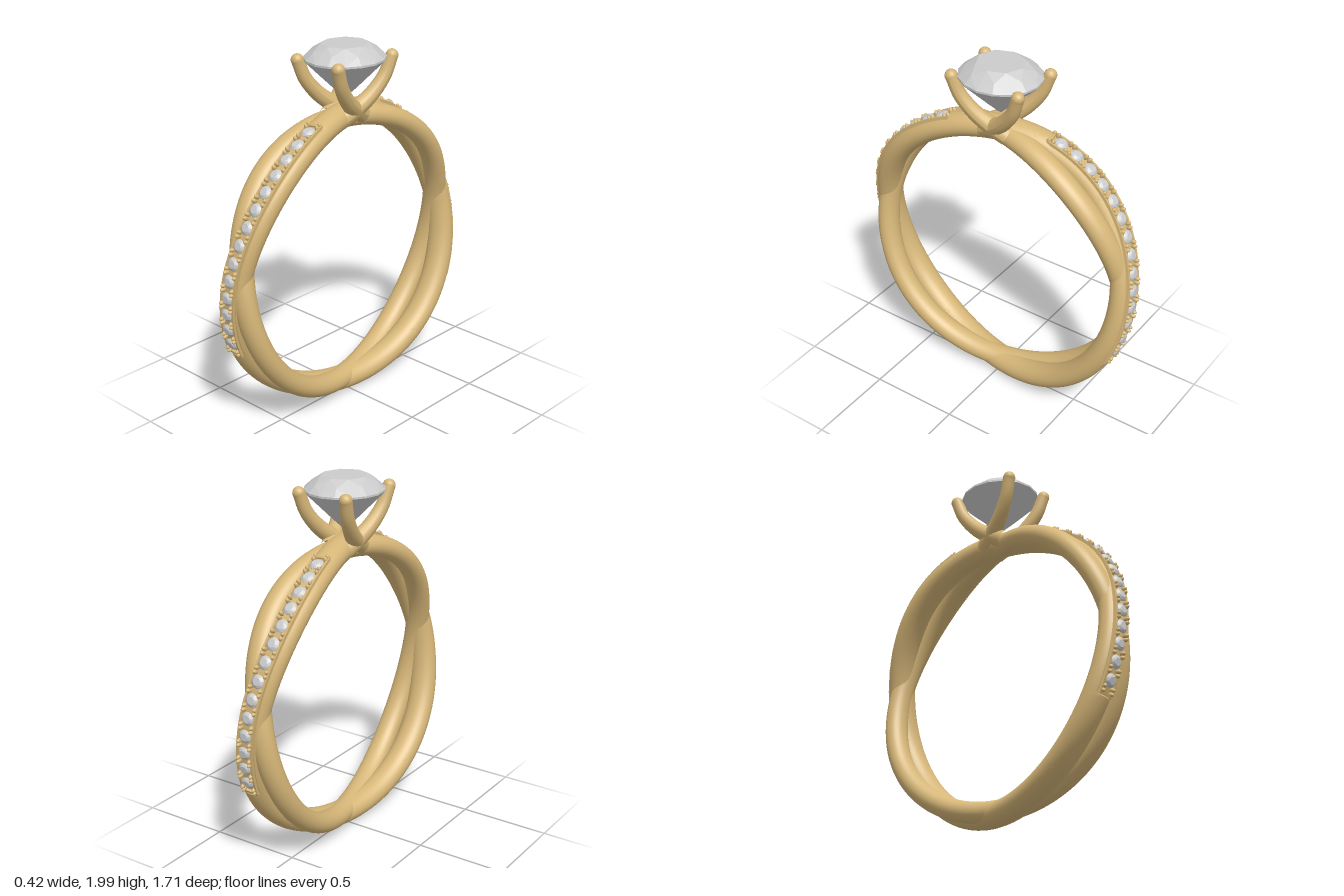
import * as THREE from 'three';
import { toCreasedNormals } from 'three/addons/utils/BufferGeometryUtils.js';
import { ConvexGeometry } from 'three/addons/geometries/ConvexGeometry.js';

const gold = new THREE.MeshStandardMaterial({ color: 0xd6b678 });
const gemMat = new THREE.MeshStandardMaterial({ color: 0xcccccc, flatShading: true });
const CENTRE_Y = 0.85;
const rad = THREE.MathUtils.degToRad;
const CH0 = rad(19.5), CH1 = rad(115.5); // angular range of the stone channel

function addMesh(parent, name, geometry, material) {
  const m = new THREE.Mesh(geometry, material);
  m.name = name;
  parent.add(m);
  return m;
}

// Sideways weave of a strand; angle 0 is the top of the ring, positive to the front
function weave(a) {
  const t = Math.abs(a), s = Math.sign(a), cross = rad(80);
  const w = t < cross
    ? 0.072 * Math.sin(t / cross * Math.PI)
    : -0.075 * Math.sin((t - cross) / (Math.PI - cross) * Math.PI);
  return s * w;
}

function strandPoint(a, R, mirror) {
  return new THREE.Vector3(mirror * weave(a), CENTRE_Y + R * Math.cos(a), R * Math.sin(a));
}

// Position with tangent, sideways and outward directions along a strand
function frame(a, R, mirror) {
  const p = strandPoint(a, R, mirror);
  const T = strandPoint(a + 0.004, R, mirror).sub(strandPoint(a - 0.004, R, mirror)).normalize();
  const N = new THREE.Vector3(0, Math.cos(a), Math.sin(a));
  N.addScaledVector(T, -N.dot(T)).normalize();
  return { p, T, N, S: new THREE.Vector3().crossVectors(T, N) };
}

// Sweep a closed section of [side, out] pairs along a strand
function sweep(R, mirror, section, a0, a1, n, closed) {
  const pos = [], idx = [], m = section(a0).length, rings = closed ? n : n + 1;
  for (let i = 0; i < rings; i++) {
    const a = a0 + (a1 - a0) * i / n, f = frame(a, R, mirror);
    for (const [u, v] of section(a)) {
      const q = f.p.clone().addScaledVector(f.S, u).addScaledVector(f.N, v);
      pos.push(q.x, q.y, q.z);
    }
  }
  for (let i = 0; i < n; i++) {
    for (let j = 0; j < m; j++) {
      const k = (j + 1) % m, r0 = i * m, r1 = ((i + 1) % rings) * m;
      idx.push(r0 + j, r1 + j, r0 + k, r0 + k, r1 + j, r1 + k);
    }
  }
  const g = new THREE.BufferGeometry();
  g.setAttribute('position', new THREE.Float32BufferAttribute(pos, 3));
  g.setIndex(idx);
  g.computeVertexNormals();
  return g;
}

function ellipse(w, h, top = Infinity, n = 32) {
  return Array.from({ length: n }, (_, j) => {
    const t = j / n * Math.PI * 2;
    return [w * Math.cos(t), Math.min(top, h * Math.sin(t))];
  });
}

// Round brilliant of unit radius, girdle at y = 0
function brilliant() {
  const pts = [new THREE.Vector3(0, -1.03, 0)];
  const ring = (n, r, y, offset) => {
    for (let i = 0; i < n; i++) {
      const t = (i + offset) / n * Math.PI * 2;
      pts.push(new THREE.Vector3(r * Math.cos(t), y, r * Math.sin(t)));
    }
  };
  ring(8, 0.58, 0.36, 0);     // table
  ring(8, 0.82, 0.2, 0.5);    // crown
  ring(16, 1, 0.02, 0);       // girdle
  ring(16, 1, -0.03, 0);
  ring(8, 0.3, -0.75, 0.5);   // pavilion
  return new ConvexGeometry(pts);
}

// Claw that swells at its foot and narrows to a rounded tip
function prongGeometry(sx, sz) {
  const curve = new THREE.CatmullRomCurve3([
    [0.045, 1.62, -0.07], [0.07, 1.66, 0.0], [0.1, 1.725, 0.085],
    [0.127, 1.82, 0.16], [0.143, 1.925, 0.2],
  ].map(([x, y, z]) => new THREE.Vector3(x * sx, y, z * sz)));
  const n = 28, sides = 16, g = new THREE.TubeGeometry(curve, n, 1, sides, false);
  const pos = g.attributes.position, v = new THREE.Vector3();
  for (let i = 0; i <= n; i++) {
    const c = curve.getPointAt(i / n), r = 0.034 + 0.018 * (1 - i / n) ** 1.5;
    for (let j = 0; j <= sides; j++) {
      const k = i * (sides + 1) + j;
      v.fromBufferAttribute(pos, k).sub(c).multiplyScalar(r).add(c);
      pos.setXYZ(k, v.x, v.y, v.z);
    }
  }
  g.computeVertexNormals();
  return { g, tip: curve.getPoint(1) };
}

export function createModel() {
  const model = new THREE.Group();
  const RA = 0.775, RB = 0.762;

  // Two interwoven strands; the stone-set one is cut flat under its channel
  const main = sweep(RA, 1, a => {
    const cut = Math.abs(a) > CH0 && Math.abs(a) < CH1;
    return ellipse(0.077, 0.065, cut ? 0.047 : Infinity);
  }, -Math.PI, Math.PI, 300, true);
  addMesh(model, 'stoneSetStrand', toCreasedNormals(main, 0.6), gold);
  addMesh(model, 'plainStrand', sweep(RB, -1, () => ellipse(0.066, 0.058), -Math.PI, Math.PI, 240, true), gold);

  const stoneGeo = brilliant();
  const beadGeo = new THREE.SphereGeometry(0.0115, 10, 8);
  const wallGeo = new THREE.BoxGeometry(0.096, 0.022, 0.014);

  // Channel setting, on the front and turned half round for the back
  for (const half of ['front', 'back']) {
    const setting = new THREE.Group();
    setting.name = half + 'ChannelSetting';
    if (half === 'back') setting.rotation.y = Math.PI;
    model.add(setting);

    const place = (mesh, a, u, v) => {
      const f = frame(a, RA, 1);
      mesh.position.copy(f.p).addScaledVector(f.S, u).addScaledVector(f.N, v);
      mesh.quaternion.setFromRotationMatrix(new THREE.Matrix4().makeBasis(f.S.clone().negate(), f.N, f.T));
    };

    // Side rails and end walls
    for (const s of [-1, 1]) {
      const rail = () => [[0.006, 0.03], [0.006, 0.062], [-0.006, 0.062], [-0.006, 0.03]].map(([u, v]) => [u + s * 0.043, v]);
      addMesh(setting, 'channelRail', toCreasedNormals(sweep(RA, 1, rail, CH0, CH1, 80, false), 0.5), gold);
    }
    for (const a of [CH0, CH1]) place(addMesh(setting, 'channelEnd', wallGeo, gold), a, 0, 0.051);

    // Stones with a pair of beads either side of each
    const count = 14, first = rad(23.5), step = rad(87) / (count - 1);
    for (let i = 0; i < count; i++) {
      const stone = addMesh(setting, 'smallStone', stoneGeo, gemMat);
      stone.scale.setScalar(0.036);
      place(stone, first + i * step, 0, 0.06);
    }
    for (let i = 0; i <= count; i++) {
      for (const s of [-1, 1]) {
        for (const d of [-0.014, 0.014]) {
          const bead = addMesh(setting, 'settingBead', beadGeo, gold);
          bead.scale.y = 1.7;
          place(bead, first + (i - 0.5) * step + d, s * 0.034, 0.059);
        }
      }
    }
  }

  // Four claws
  for (const sx of [-1, 1]) {
    for (const sz of [-1, 1]) {
      const { g, tip } = prongGeometry(sx, sz);
      addMesh(model, 'prong', g, gold);
      addMesh(model, 'prongTip', new THREE.SphereGeometry(0.034, 16, 12), gold).position.copy(tip).setY(tip.y - 0.002);
    }
  }

  // Centre stone
  const gem = addMesh(model, 'centreStone', stoneGeo, gemMat);
  gem.scale.set(0.208, 0.208, 0.222);
  gem.position.y = 1.925;
  return model;
}
